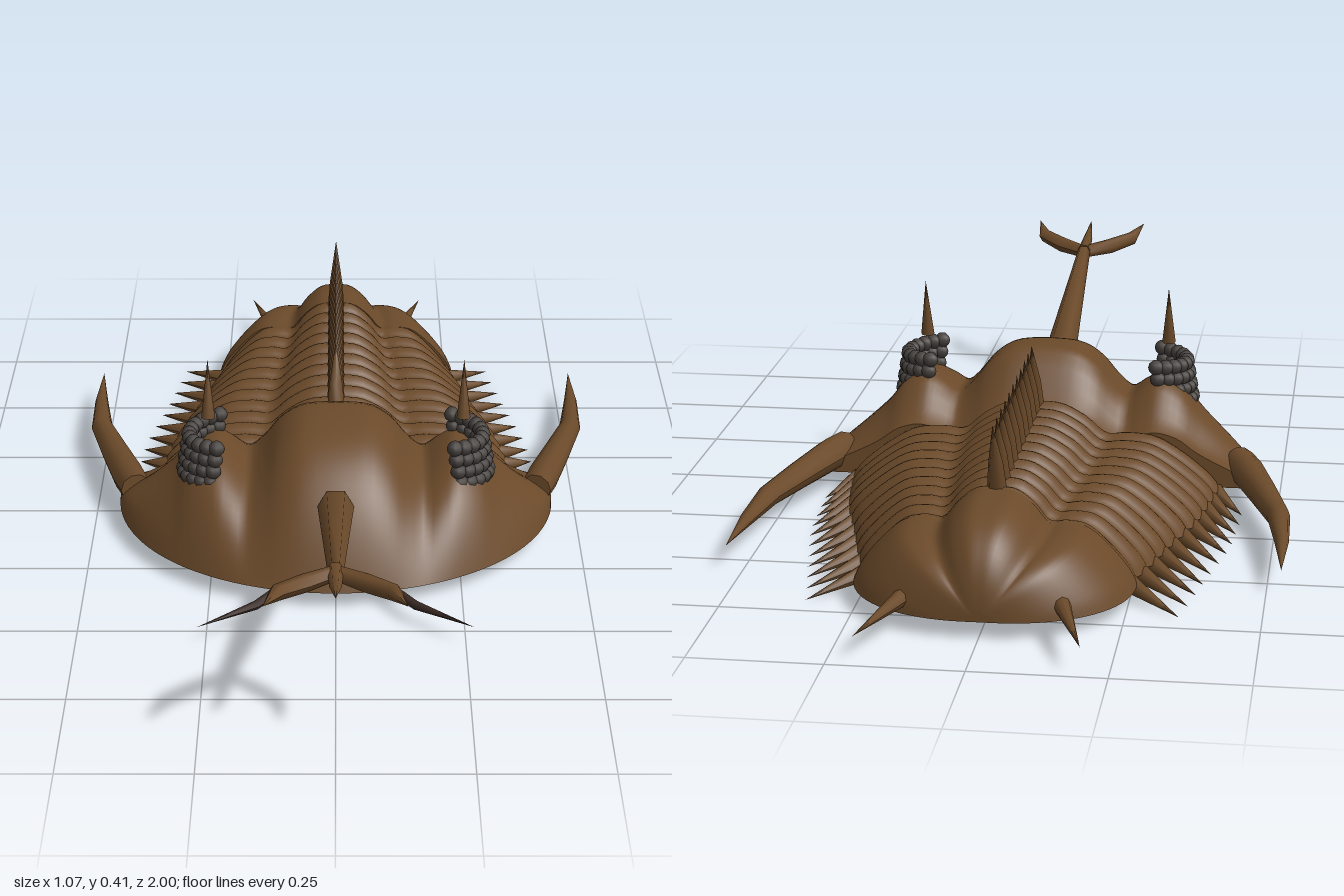
import * as THREE from 'three';
import { mergeGeometries } from 'three/addons/utils/BufferGeometryUtils.js';

const shell = new THREE.MeshStandardMaterial({ color: 0x6b4a2a });
shell.name = 'brown shell';
const lens = new THREE.MeshStandardMaterial({ color: 0x45403d });
lens.name = 'dark grey lens';
const feeler = new THREE.MeshStandardMaterial({ color: 0x3a2a24 });
feeler.name = 'dark feeler';

const BASE = 0.035;
const V = (x, y, z) => new THREE.Vector3(x, y, z);
const smooth = THREE.MathUtils.smoothstep;

// Smooth sheet of (nu + 1) x (nv + 1) points given by a rule
function sheet(nu, nv, fn) {
  const pos = [], idx = [];
  for (let i = 0; i <= nu; i++) for (let j = 0; j <= nv; j++) pos.push(...fn(i, j));
  for (let i = 0; i < nu; i++) for (let j = 0; j < nv; j++) {
    const a = i * (nv + 1) + j, c = a + nv + 1;
    idx.push(a, a + 1, c, a + 1, c + 1, c);
  }
  const g = new THREE.BufferGeometry();
  g.setAttribute('position', new THREE.Float32BufferAttribute(pos, 3));
  g.setIndex(idx);
  g.computeVertexNormals();
  return g;
}

// Domed sheet closed by a flat belly and end walls
function shellGeometry(nu, nv, fn) {
  const flat = (i, j) => { const p = fn(i, j); return [p[0], BASE, p[2]]; };
  return mergeGeometries([
    sheet(nu, nv, fn),
    sheet(nu, nv, (i, j) => flat(nu - i, j)),
    sheet(nu, 1, (i, j) => (j ? fn(i, 0) : [fn(i, 0)[0], BASE, fn(i, 0)[2]])),
    sheet(nu, 1, (i, j) => (j ? flat(i, nv) : fn(i, nv))),
  ]);
}

// Round tapering limb through points, with a closed base
function spike(pts, radii, sides = 8) {
  const rings = pts.map((p, k) => {
    const t = pts[Math.min(k + 1, pts.length - 1)].clone().sub(pts[Math.max(k - 1, 0)]).normalize();
    const n = V(0, 1, 0).cross(t);
    if (n.length() < 0.01) n.set(1, 0, 0);
    n.normalize();
    return { p, n, b: t.clone().cross(n), r: radii[k] };
  });
  const first = rings[0];
  rings.unshift({ ...first, r: 0 }, first);
  return sheet(rings.length - 1, sides, (i, j) => {
    const { p, n, b, r } = rings[i], a = (j / sides) * Math.PI * 2;
    return p.clone().addScaledVector(n, r * Math.cos(a)).addScaledVector(b, r * Math.sin(a)).toArray();
  });
}

// Half profiles, from the middle line outward
const spline = pts => new THREE.SplineCurve(pts.map(p => new THREE.Vector2(...p)));
const headProfile = spline([[0, 0.29], [0.065, 0.285], [0.11, 0.258], [0.145, 0.215], [0.177, 0.19], [0.21, 0.212],
  [0.245, 0.228], [0.29, 0.208], [0.33, 0.16], [0.38, 0.115], [0.43, 0.075], [0.447, 0.055], [0.45, BASE]]);
const bodyProfile = spline([[0, 0.21], [0.14, 0.207], [0.27, 0.182], [0.38, 0.148], [0.5, 0.15],
  [0.65, 0.143], [0.8, 0.11], [0.94, 0.066], [1, BASE]]);
function across(profile, i, n) {
  const u = (i / n) * 2 - 1;
  const p = profile.getPoint(Math.abs(u));
  return [Math.sign(u) * p.x, p.y - BASE];
}
const widths = spline([[-0.03, 0.385], [-0.18, 0.372], [-0.32, 0.352], [-0.46, 0.318], [-0.56, 0.287], [-0.65, 0.255]]);
const bodyWidth = t => widths.getPoint(t).y;

export function createModel() {
  const root = new THREE.Group();
  root.name = 'trilobite';
  const add = (name, geometry, material = shell) => {
    const m = new THREE.Mesh(geometry, material);
    m.name = name;
    root.add(m);
    return m;
  };

  // Head shield: half-oval dome with a central lobe and two eye mounds
  add('headShield', shellGeometry(80, 28, (i, j) => {
    const [x, h] = across(headProfile, i, 80);
    const front = 0.41 * Math.sqrt(Math.max(0, 1 - (x / 0.45) ** 2)) + 1e-4;
    const z = -0.04 + (front + 0.04) * (1 - (1 - j / 28) ** 1.5);
    const fall = 1 - Math.max(0, z / front) ** 4;
    const back = 1 - 0.42 * smooth(0.07 - z, 0, 0.11);
    return [x, BASE + h * fall * back, z];
  }));

  // Thorax: eleven ridged segments
  const SEG = 11, ROWS = SEG * 6;
  add('thorax', shellGeometry(56, ROWS, (i, j) => {
    const t = 1 - j / ROWS;
    const [x, h] = across(bodyProfile, i, 56);
    const ridge = 0.91 + 0.1 * Math.abs(Math.sin(t * SEG * Math.PI));
    return [x * bodyWidth(t) * (0.97 + 0.3 * (ridge - 0.91)), BASE + h * ridge, -0.03 - 0.61 * t];
  }));

  // Tail shield
  add('tailShield', shellGeometry(56, 20, (i, j) => {
    const u = Math.sin((1 - j / 20) * Math.PI / 2);
    const [x, h] = across(bodyProfile, i, 56);
    const w = 0.03 + 0.235 * Math.sqrt(Math.max(0, 1 - u ** 2.3));
    return [x * w, BASE + h * (0.12 + 0.88 * Math.sqrt(Math.max(0, 1 - u ** 3.5))), -0.62 - 0.23 * u];
  }));

  // Row of spines along the back
  for (let k = 0; k < SEG; k++) {
    const z = -0.055 - 0.0545 * k;
    add('backSpine', spike([V(0, 0.19, z), V(0, 0.26, z - 0.02), V(0, 0.345, z - 0.06)], [0.02, 0.014, 0]));
  }

  // Three-pronged front fork
  add('forkShaft', spike([V(0, 0.185, 0.33), V(0, 0.318, 0.84)], [0.036, 0.014], 6));
  add('forkMiddleProng', spike([V(0, 0.316, 0.82), V(0, 0.325, 0.9), V(0, 0.35, 0.985)], [0.015, 0.011, 0], 6));

  for (const s of [1, -1]) {
    const P = (x, y, z) => V(s * x, y, z);
    const side = s > 0 ? 'left' : 'right';

    add(side + 'ForkProng', spike([P(0, 0.312, 0.825), P(0.055, 0.316, 0.87), P(0.103, 0.325, 0.92), P(0.125, 0.343, 1)],
      [0.014, 0.017, 0.015, 0], 6));

    // Cheek spine sweeping back from the head corner
    add(side + 'CheekSpine', spike([P(0.415, 0.07, 0.03), P(0.435, 0.069, -0.03), P(0.472, 0.065, -0.15),
      P(0.51, 0.06, -0.28), P(0.522, 0.058, -0.42), P(0.528, 0.056, -0.57)], [0.032, 0.034, 0.029, 0.023, 0.014, 0], 10));

    // Feeler
    add(side + 'Feeler', spike([P(0.08, 0.042, 0.36), P(0.155, 0.04, 0.465), P(0.265, 0.046, 0.56)], [0.01, 0.009, 0], 6), feeler);

    // Tail spine
    add(side + 'TailSpine', spike([P(0.135, 0.06, -0.77), P(0.2, 0.055, -0.995)], [0.02, 0]));

    // Downswept spines along the edge, one per segment
    for (let k = 0; k < SEG; k++) {
      const t = (k + 0.5) / SEG, w = bodyWidth(t), z = -0.03 - 0.61 * t;
      add(side + 'EdgeSpine', spike([P(w - 0.13, 0.034, z + 0.06), P(w - 0.01, 0.03, z + 0.005),
        P(w + 0.045 + 0.045 * t, 0.002, z - 0.055 - 0.03 * t)], [0.014, 0.018, 0]));
    }

    // Crescent eye: stacked rows of round lenses
    const lenses = [];
    for (let row = 0; row < 4; row++) for (let k = 0; k < 11; k++) {
      const a = (k / 10 - 0.5) * 2.5;
      const x = 0.222 - row * 0.004 + 0.085 * Math.cos(a);
      const y = 0.184 + row * 0.025 - 0.008 * Math.cos(a);
      lenses.push(new THREE.SphereGeometry(0.0165, 8, 6).translate(s * x, y, 0.14 + 0.083 * Math.sin(a)));
    }
    add(side + 'Eye', mergeGeometries(lenses), lens);

    // Horn above the eye
    add(side + 'EyeHorn', spike([P(0.256, 0.29, 0.147), P(0.256, 0.41, 0.127)], [0.014, 0]));
  }
  return root;
}
